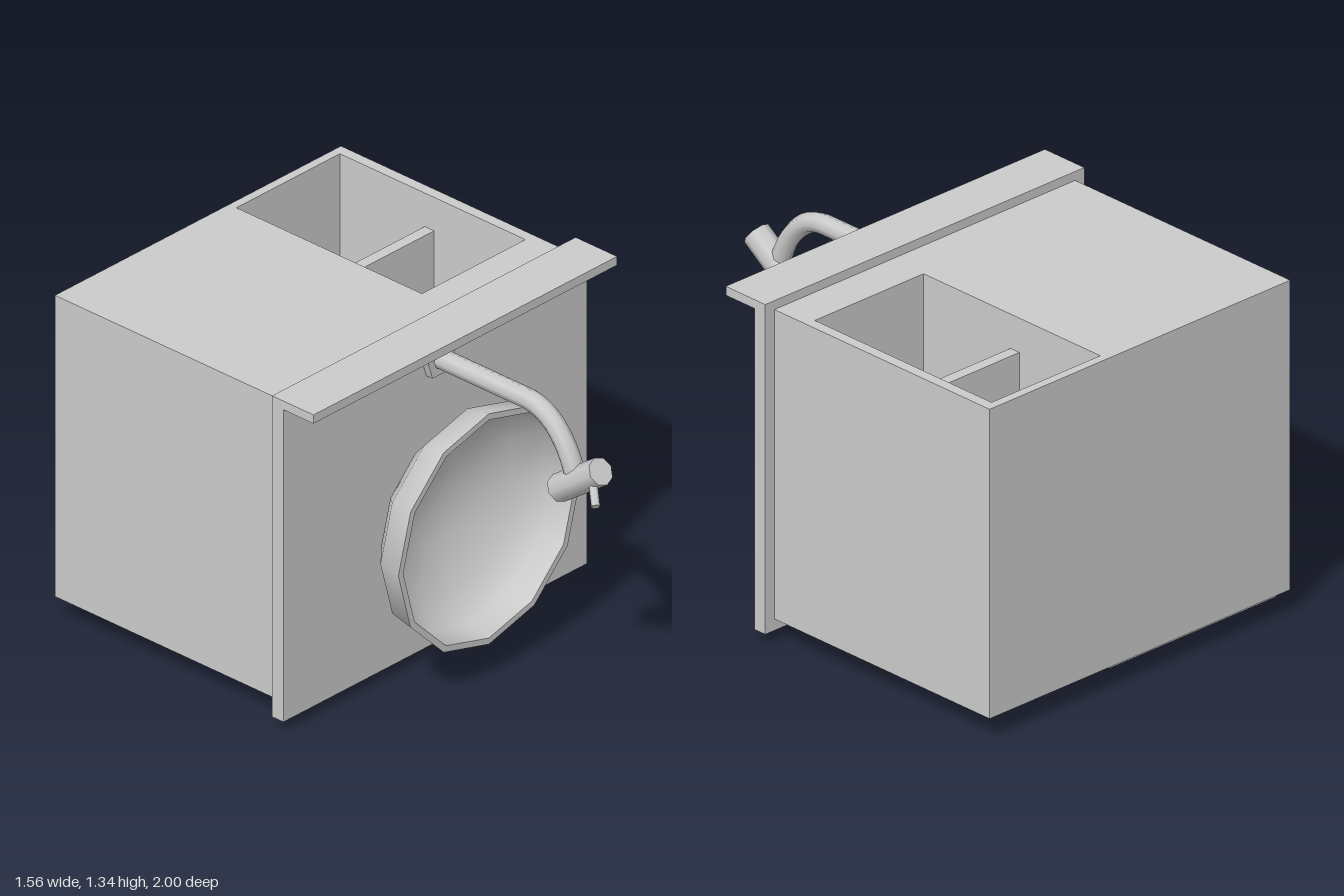
import * as THREE from 'three';
import { toCreasedNormals } from 'three/addons/utils/BufferGeometryUtils.js';

const material = new THREE.MeshStandardMaterial({ color: 0xcccccc });

export function createModel() {
  const model = new THREE.Group();
  model.name = 'sinkCabinet';

  const add = (name, geometry, parent = model) => {
    const mesh = new THREE.Mesh(geometry, material);
    mesh.name = name;
    parent.add(mesh);
    return mesh;
  };

  // Box given by its extents on each axis
  const box = (name, [x0, x1], [y0, y1], [z0, z1], parent) => {
    const mesh = add(name, new THREE.BoxGeometry(x1 - x0, y1 - y0, z1 - z0), parent);
    mesh.position.set((x0 + x1) / 2, (y0 + y1) / 2, (z0 + z1) / 2);
    return mesh;
  };

  // Cylinder running from point a to point b
  const rod = (name, a, b, radius, sides, parent) => {
    const start = new THREE.Vector3(...a);
    const end = new THREE.Vector3(...b);
    const axis = end.clone().sub(start);
    const geometry = new THREE.CylinderGeometry(radius, radius, axis.length(), sides);
    geometry.rotateY(Math.PI);
    const mesh = add(name, geometry, parent);
    mesh.position.copy(start).add(end).multiplyScalar(0.5);
    mesh.quaternion.setFromUnitVectors(new THREE.Vector3(0, 1, 0), axis.normalize());
    return mesh;
  };

  // Rectangular path in the x / -z plane
  const rectangle = (path, x0, x1, z0, z1) => {
    path.moveTo(x0, -z1);
    path.lineTo(x1, -z1);
    path.lineTo(x1, -z0);
    path.lineTo(x0, -z0);
    path.closePath();
    return path;
  };

  // Cabinet body with an open compartment running through it
  const outline = rectangle(new THREE.Shape(), -0.733, 0.733, -1, 0.09);
  outline.holes.push(rectangle(new THREE.Path(), 0.16, 0.69, -0.965, -0.07));
  const body = new THREE.ExtrudeGeometry(outline, { depth: 1.215, bevelEnabled: false });
  body.rotateX(-Math.PI / 2);
  body.translate(0, 0.09, 0);
  add('cabinetBody', body);
  box('shelf', [0.16, 0.69], [0.21, 1.17], [-0.555, -0.51]);

  // Countertop and splash board
  box('countertop', [-0.778, 0.778], [0.045, 1.305], [0.09, 0.145]);
  box('splashBoard', [-0.778, 0.778], [1.305, 1.34], [0.09, 0.29]);

  // Door and its handle
  box('door', [-0.695, 0.12], [0.065, 0.09], [-0.97, -0.07]);
  const handle = new THREE.Group();
  handle.name = 'doorHandle';
  model.add(handle);
  for (const x of [-0.13, 0.045]) {
    const post = rod('handlePost', [x, 0.003, -0.195], [x, 0.067, -0.195], 0.025, 8, handle);
    post.scale.x = 0.62;
  }
  box('handleBar', [-0.13, 0.045], [0, 0.017], [-0.21, -0.18], handle);

  // Twelve-sided basin: outer wall, rim, inner wall
  const profile = [
    [0, 0.135], [0.15, 0.145], [0.345, 0.21], [0.445, 0.3], [0.465, 0.405],
    [0.44, 0.405], [0.42, 0.31], [0.325, 0.23], [0.14, 0.17], [0, 0.158],
  ].map(([r, h]) => new THREE.Vector2(r, h));
  const basin = new THREE.LatheGeometry(profile, 12);
  basin.rotateX(Math.PI / 2);
  basin.translate(0, 0.605, 0);
  add('basin', toCreasedNormals(basin, 0.8));

  // Tap: base plate, curved spout, head, nozzle and lever
  const tap = new THREE.Group();
  tap.name = 'tap';
  model.add(tap);
  const plate = rod('tapBase', [0, 1.203, 0.14], [0, 1.203, 0.175], 0.077, 5, tap);
  plate.geometry = toCreasedNormals(plate.geometry, 0.5);

  const path = new THREE.CurvePath();
  const straightEnd = new THREE.Vector3(0, 1.204, 0.59);
  path.add(new THREE.LineCurve3(new THREE.Vector3(0, 1.204, 0.15), straightEnd));
  path.add(new THREE.CubicBezierCurve3(
    straightEnd,
    new THREE.Vector3(0, 1.204, 0.7),
    new THREE.Vector3(0, 1.11, 0.78),
    new THREE.Vector3(0, 0.985, 0.82),
  ));
  add('spout', new THREE.TubeGeometry(path, 24, 0.038, 8), tap);

  rod('tapHead', [0, 1.045, 0.944], [0, 0.901, 0.742], 0.053, 8, tap);
  rod('nozzle', [0, 0.915, 0.762], [0, 0.889, 0.725], 0.032, 8, tap);
  rod('lever', [-0.02, 1.0, 0.925], [-0.07, 0.947, 0.985], 0.016, 6, tap);

  return model;
}
